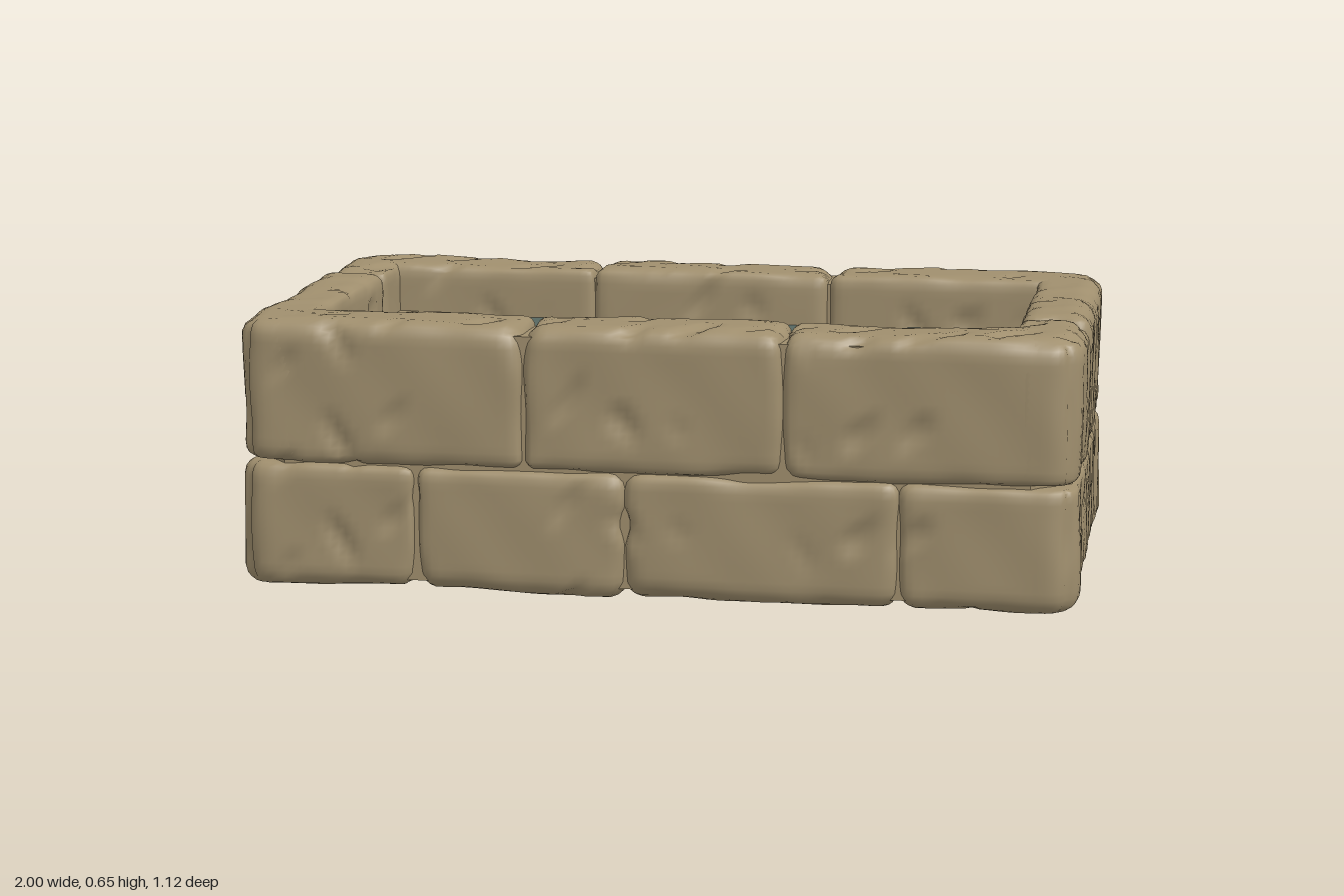
import * as THREE from 'three';
import { mergeVertices } from 'three/addons/utils/BufferGeometryUtils.js';

const { abs, sin, cos, max, min, round, sign, hypot } = Math;
const { smoothstep } = THREE.MathUtils;

// Half width and half depth of the trough, and the radius of its upright corners
const X = 0.993, Z = 0.554, CORNER = 0.08;

// Smooth, repeatable bumps in the range -1 to 1
const bumps = (x, y, z) =>
  0.45 * sin(9 * x + 2 * sin(7 * y + 1) + 4 * z) +
  0.35 * sin(13 * z - 8 * y + 2 * cos(6 * x)) +
  0.2 * sin(27 * x + 21 * y + 3 * cos(19 * z));

// Small sharp dents, mostly zero
const dents = (x, y, z) =>
  max(0, sin(23 * x + 3 * cos(11 * z)) * cos(26 * y + 2 * sin(17 * x)) * sin(19 * z + 5 * x + 1) - 0.45);

// Edge radius: uneven everywhere, larger along the trough's outer top and bottom edges
function edgeRadius({ x, y, z }) {
  const side = max(smoothstep(abs(x), 0.82, 0.95), smoothstep(abs(z), 0.38, 0.52));
  const level = smoothstep(abs(y - 0.325), 0.2, 0.31);
  const chip = bumps(x * 1.7 + 3, y * 1.7, z * 1.7);
  return 0.03 + 0.011 * chip + 0.018 * side * level;
}

// Rounds the four upright corners of the whole trough
function roundCorner(p) {
  const dx = abs(p.x) - (X - CORNER), dz = abs(p.z) - (Z - CORNER);
  if (dx <= 0 || dz <= 0) return;
  const k = max(dx, dz) / hypot(dx, dz);
  p.x = sign(p.x) * (X - CORNER + dx * k);
  p.z = sign(p.z) * (Z - CORNER + dz * k);
}

// A worn stone between two corners: rounded edges, chipped and uneven faces
function stoneGeometry(x0, x1, y0, y1, z0, z1) {
  const lo = [x0, y0, z0].map(v => v + 0.001);
  const hi = [x1, y1, z1].map(v => v - 0.001);
  const size = hi.map((v, i) => v - lo[i]);
  const segments = size.map(s => max(8, round(s / 0.019)));
  let geometry = new THREE.BoxGeometry(...size, ...segments);
  geometry.translate(...lo.map((v, i) => (v + hi[i]) / 2));
  geometry.deleteAttribute('normal');
  geometry.deleteAttribute('uv');
  geometry = mergeVertices(geometry, 1e-5);

  const pos = geometry.attributes.position;
  const p = new THREE.Vector3(), core = new THREE.Vector3(), dir = new THREE.Vector3();
  for (let i = 0; i < pos.count; i++) {
    p.fromBufferAttribute(pos, i);
    const r = edgeRadius(p);
    core.set(
      min(max(p.x, lo[0] + r), hi[0] - r),
      min(max(p.y, lo[1] + r), hi[1] - r),
      min(max(p.z, lo[2] + r), hi[2] - r));
    dir.subVectors(p, core).normalize();
    const lift = 0.006 * bumps(p.x, p.y, p.z) - 0.025 * dents(p.x, p.y, p.z);
    p.copy(core).addScaledVector(dir, r + lift);
    roundCorner(p);
    p.y = max(p.y, 0);
    pos.setXYZ(i, p.x, p.y, p.z);
  }
  geometry.computeVertexNormals();
  return geometry;
}

// Rectangle outline with cut corners
function outline(path, w, d, cut) {
  path.moveTo(-w + cut, -d);
  path.lineTo(w - cut, -d);
  path.lineTo(w, -d + cut);
  path.lineTo(w, d - cut);
  path.lineTo(w - cut, d);
  path.lineTo(-w + cut, d);
  path.lineTo(-w, d - cut);
  path.lineTo(-w, -d + cut);
  path.closePath();
  return path;
}

// Upright slab from a flat outline
function slab(shape, height) {
  const geometry = new THREE.ExtrudeGeometry(shape, { depth: height, bevelEnabled: false });
  return geometry.rotateX(-Math.PI / 2);
}

export function createModel() {
  const stone = new THREE.MeshStandardMaterial({ color: 0xa08f6e });
  stone.name = 'stone';
  const water = new THREE.MeshStandardMaterial({ color: 0x55655f });
  water.name = 'water';

  const model = new THREE.Group();
  model.name = 'stoneTrough';
  const add = (parent, name, geometry, material) => {
    const mesh = new THREE.Mesh(geometry, material);
    mesh.name = name;
    parent.add(mesh);
    return mesh;
  };

  const IX = 0.828, IZ = 0.354, MID = 0.305, TOP = 0.648, LEVEL = 0.495;

  // The back half repeats the front half, turned half way round
  const lowerJoints = [-X, -0.56, -0.06, 0.58, X];
  const lowerBacks = [0.035, 0.012, -0.012, -0.035];
  const upperStones = [
    ['rightCornerFront', -X, -0.3, IZ, Z],
    ['rightCornerSide', -X, -IX, -0.217, Z],
    ['middleRim', -0.3, 0.31, IZ, Z],
    ['leftCornerFront', 0.31, X, IZ, Z],
    ['leftCornerSide', IX, X, 0.217, Z],
  ];
  for (const [side, turn] of [['front', 0], ['back', Math.PI]]) {
    const half = new THREE.Group();
    half.name = side + 'Half';
    half.rotation.y = turn;
    lowerBacks.forEach((back, i) => add(half, 'baseStone' + (i + 1),
      stoneGeometry(lowerJoints[i], lowerJoints[i + 1], 0.005, MID, back, Z), stone));
    for (const [name, x0, x1, z0, z1] of upperStones) {
      add(half, name + 'Stone', stoneGeometry(x0, x1, MID, TOP, z0, z1), stone);
    }
    model.add(half);
  }

  // Filling in the joints between the stones
  const baseShape = outline(new THREE.Shape(), 0.97, 0.532, 0.09);
  add(model, 'baseFilling', slab(baseShape, 0.41), stone).position.y = 0.028;
  const ringShape = outline(new THREE.Shape(), 0.97, 0.532, 0.09);
  ringShape.holes.push(outline(new THREE.Path(), 0.85, 0.376, 0.01));
  add(model, 'rimFilling', slab(ringShape, 0.22), stone).position.y = 0.4;

  // Water, swelling a little where it meets the stones
  const surface = new THREE.PlaneGeometry(2 * IX + 0.04, 2 * IZ + 0.04, 48, 24);
  surface.rotateX(-Math.PI / 2);
  const pos = surface.attributes.position;
  for (let i = 0; i < pos.count; i++) {
    const x = pos.getX(i), z = pos.getZ(i);
    const edge = min(IX - abs(x), IZ - abs(z));
    const swell = max(0, 1 - max(0, edge) / (0.09 + 0.03 * sin(9 * x + 5 * z)));
    pos.setY(i, LEVEL + 0.022 * swell);
  }
  surface.computeVertexNormals();
  add(model, 'waterSurface', surface, water);

  // Small stone ledges in the corners of the basin
  for (const sx of [-1, 1]) for (const sz of [-1, 1]) {
    const ledge = add(model, 'cornerLedge', new THREE.CylinderGeometry(0.05, 0.05, 0.06, 4), stone);
    ledge.position.set(sx * IX, LEVEL, sz * IZ);
  }
  return model;
}
